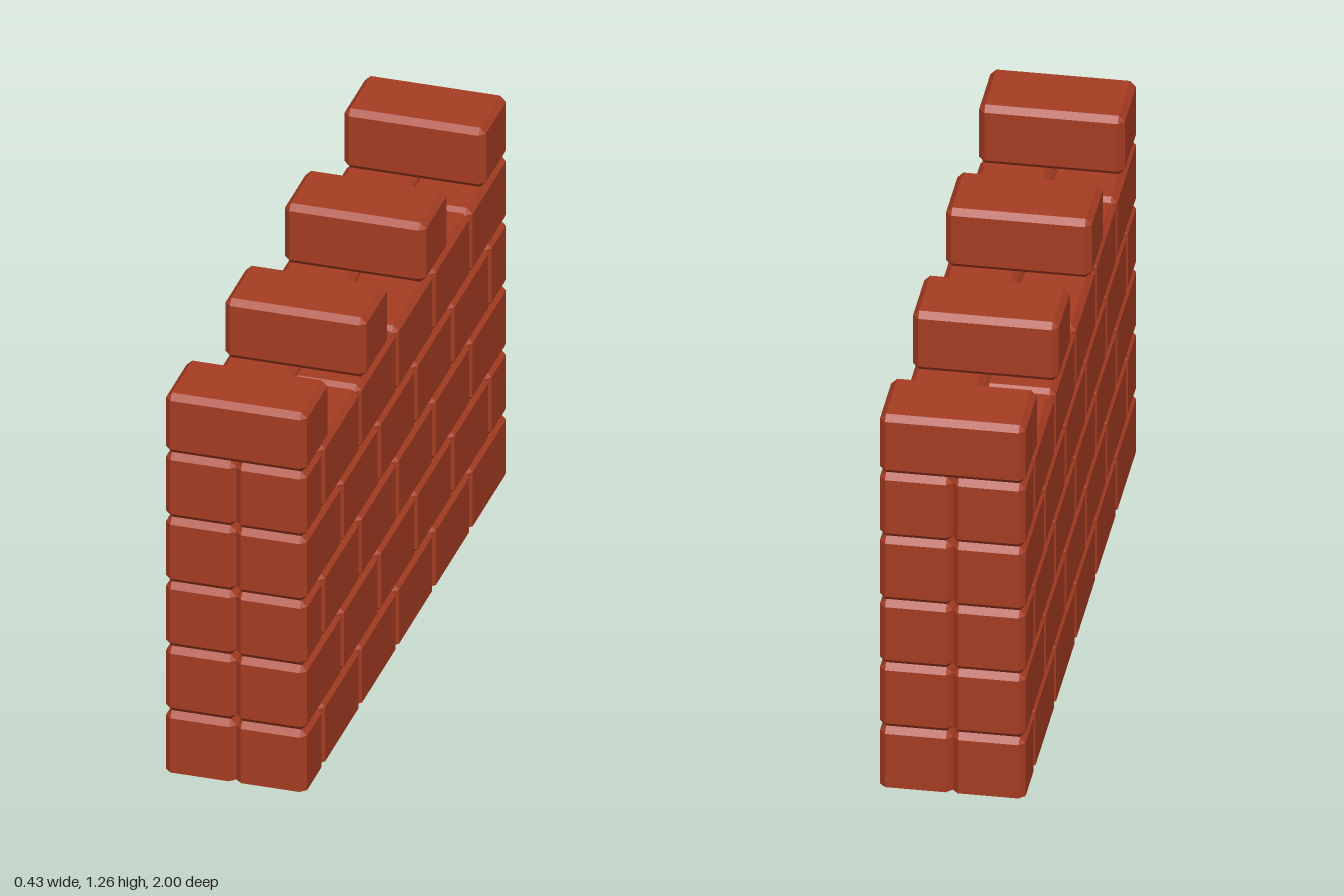
import * as THREE from 'three';
import { ConvexGeometry } from 'three/addons/geometries/ConvexGeometry.js';

const BEVEL = 0.018;
const HALF_WIDTH = 0.215;
const LENGTH = 2;
const COURSES = [0, 0.199, 0.415, 0.63, 0.846, 1.062]; // heights of the bed joints
const TOP = 1.26;
const BRICK = 0.3645; // length of a full brick

// Brick with all edges chamfered; flatBase leaves the lower edges square.
function brickGeometry(w, h, d, flatBase = false) {
  const points = [];
  const x = w / 2, y = h / 2, z = d / 2, b = BEVEL;
  for (const sx of [-1, 1]) for (const sy of [-1, 1]) for (const sz of [-1, 1]) {
    const square = flatBase && sy < 0;
    const yIn = square ? y : y - b;
    points.push(new THREE.Vector3(sx * x, sy * yIn, sz * (z - b)));
    points.push(new THREE.Vector3(sx * (x - b), sy * yIn, sz * z));
    if (!square) points.push(new THREE.Vector3(sx * (x - b), sy * y, sz * (z - b)));
  }
  return new ConvexGeometry(points);
}

export function createModel() {
  const brickRed = new THREE.MeshStandardMaterial({ color: 0xa63c22 });
  brickRed.name = 'brickRed';

  const wall = new THREE.Group();
  wall.name = 'brickWall';

  function addBrick(parent, name, x, y0, y1, z0, z1, width) {
    const geometry = brickGeometry(width, y1 - y0, z1 - z0, y0 === 0);
    const mesh = new THREE.Mesh(geometry, brickRed);
    mesh.name = name;
    mesh.position.set(x, (y0 + y1) / 2, (z0 + z1) / 2);
    parent.add(mesh);
  }

  // Two skins of running bond, the right one turned half round
  for (const side of ['left', 'right']) {
    const skin = new THREE.Group();
    skin.name = side + 'Skin';
    for (let row = 0; row < 5; row++) {
      const course = new THREE.Group();
      course.name = 'course' + (row + 1);
      const cut = LENGTH - 5 * BRICK;
      for (let i = 0, z = 1; i < 6; i++) {
        // the cut brick opens even rows and closes odd ones
        const isCut = i === (row % 2 === 0 ? 0 : 5);
        const length = isCut ? cut : BRICK;
        addBrick(course, isCut ? 'cutBrick' : 'brick', HALF_WIDTH / 2,
          COURSES[row], COURSES[row + 1], z - length, z, HALF_WIDTH);
        z -= length;
      }
      skin.add(course);
    }
    if (side === 'right') skin.rotation.y = Math.PI;
    wall.add(skin);
  }

  // Battlement bricks laid across the top
  const battlements = new THREE.Group();
  battlements.name = 'battlements';
  const depth = 0.235;
  for (let i = 0; i < 4; i++) {
    const z = 1 - depth / 2 - i * (LENGTH - depth) / 3;
    addBrick(battlements, 'battlementBrick', 0, COURSES[5], TOP,
      z - depth / 2, z + depth / 2, HALF_WIDTH * 2);
  }
  wall.add(battlements);

  return wall;
}
